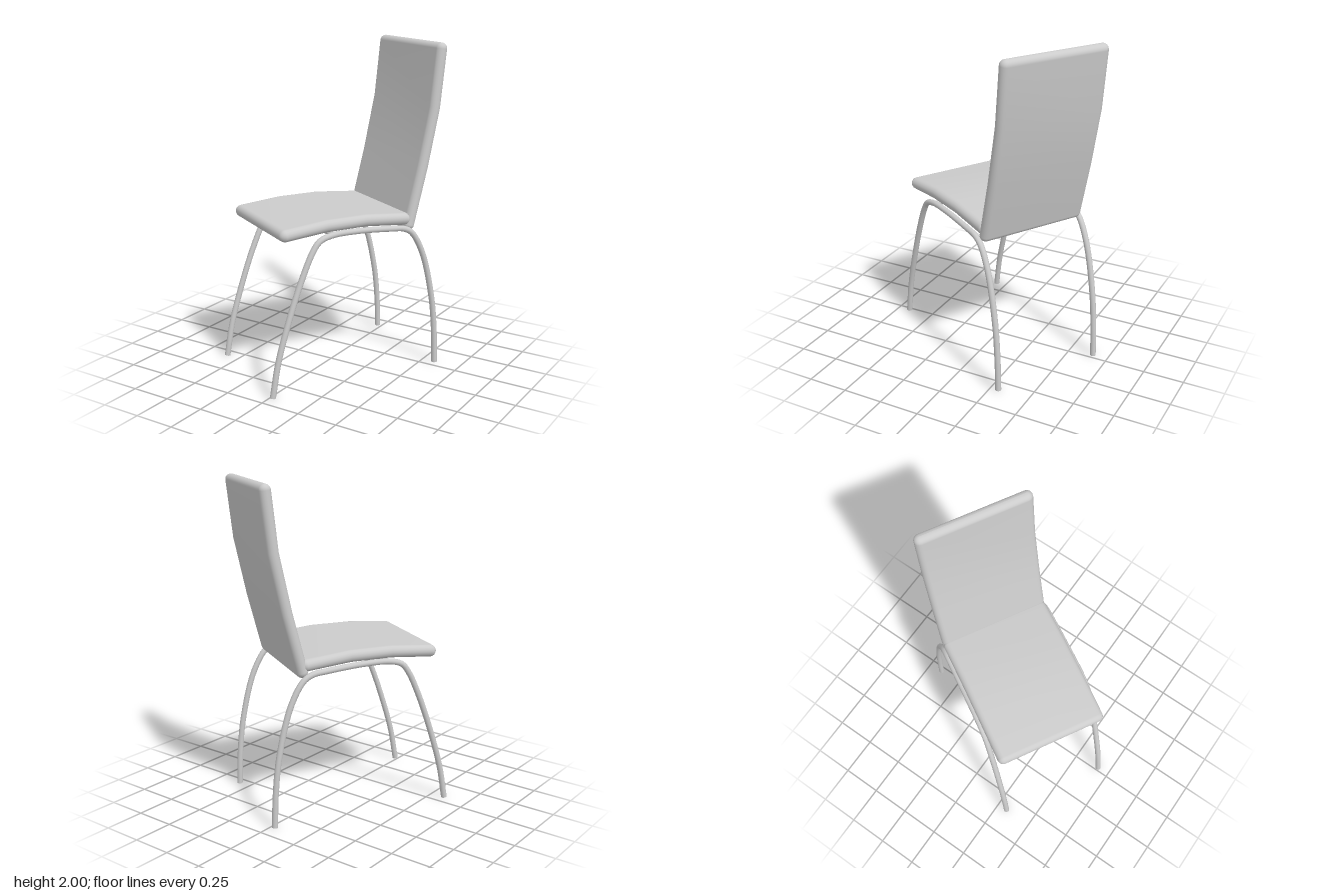
import * as THREE from 'three';

const material = new THREE.MeshStandardMaterial({ color: 0xcccccc });

function add(parent, name, geometry) {
  const mesh = new THREE.Mesh(geometry, material);
  mesh.name = name;
  parent.add(mesh);
  return mesh;
}

// Cushion with fully rounded edges, swept along a side profile of [z, y] points
function cushion(profile, halfWidth, r) {
  const path = profile.map(([z, y]) => new THREE.Vector3(0, y, z));
  const last = path.length - 1;
  const dirAt = (i) => path[Math.min(i + 1, last)].clone().sub(path[Math.max(i - 1, 0)]).normalize();
  const steps = 6, arc = 8;

  // Stations: rounded start, plain middle, rounded end
  const stations = [];
  const cap = (i, sign, k) => {
    const a = (k / steps) * Math.PI / 2, d = dirAt(i);
    const p = path[i].clone().addScaledVector(d, sign * r * (Math.sin(a) - 1));
    stations.push({ p, d, r: r * Math.cos(a) });
  };
  for (let k = steps; k >= 0; k--) cap(0, -1, k);
  for (let i = 1; i < last; i++) stations.push({ p: path[i], d: dirAt(i), r });
  for (let k = 0; k <= steps; k++) cap(last, 1, k);

  const positions = [], index = [], ring = 2 * (arc + 1);
  stations.forEach((s, i) => {
    for (let j = 0; j < ring; j++) {
      const side = j <= arc ? 1 : -1;
      const a = -Math.PI / 2 + (j % (arc + 1)) / arc * Math.PI + (side < 0 ? Math.PI : 0);
      const n = s.r * Math.sin(a);
      positions.push(side * (halfWidth - r) + s.r * Math.cos(a), s.p.y + n * s.d.z, s.p.z - n * s.d.y);
      if (i < stations.length - 1) {
        const a0 = i * ring + j, b0 = i * ring + (j + 1) % ring;
        index.push(a0, b0, a0 + ring, b0, b0 + ring, a0 + ring);
      }
    }
  });
  const geometry = new THREE.BufferGeometry();
  geometry.setAttribute('position', new THREE.Float32BufferAttribute(positions, 3));
  geometry.setIndex(index);
  geometry.computeVertexNormals();
  return geometry;
}

export function createModel() {
  const model = new THREE.Group();
  model.name = 'chair';
  const chair = new THREE.Group();
  chair.name = 'chairBody';
  chair.rotation.y = -Math.PI / 6; // the chair stands turned to one side
  model.add(chair);

  // Upholstery
  add(chair, 'seat', cushion([[0.5, 0.956], [0.2, 0.983], [-0.06, 0.984], [-0.37, 0.955]], 0.35, 0.037));
  add(chair, 'backrest', cushion([[-0.352, 0.888], [-0.45, 1.27], [-0.525, 1.62], [-0.567, 2]], 0.35, 0.035));

  // Each side frame is one bent tube: front leg, seat rail, back leg
  const tubeRadius = 0.018;
  const legPath = [
    [0.57, 0], [0.53, 0.22], [0.447, 0.5], [0.37, 0.71], [0.305, 0.85], [0.26, 0.908], [0.18, 0.933],
    [0.02, 0.937], [-0.22, 0.92], [-0.31, 0.908], [-0.365, 0.875], [-0.444, 0.734],
    [-0.518, 0.44], [-0.545, 0.2], [-0.553, 0],
  ];
  for (const [side, name] of [[1, 'left'], [-1, 'right']]) {
    const curve = new THREE.CatmullRomCurve3(
      legPath.map(([z, y]) => new THREE.Vector3(side * 0.352, y, z)), false, 'centripetal');
    add(chair, name + 'LegFrame', new THREE.TubeGeometry(curve, 96, tubeRadius, 12));
    for (const [t, end] of [[0, 'Front'], [1, 'Back']]) {
      const foot = add(chair, name + end + 'FootCap', new THREE.CircleGeometry(tubeRadius, 12));
      const p = curve.getPoint(t), d = curve.getTangent(t).multiplyScalar(t ? 1 : -1);
      foot.position.copy(p);
      foot.quaternion.setFromUnitVectors(new THREE.Vector3(0, 0, 1), d);
    }
  }

  // Crossbar joining the rails under the seat
  const bar = add(chair, 'crossbar', new THREE.CylinderGeometry(0.016, 0.016, 0.7, 12));
  bar.rotation.z = Math.PI / 2;
  bar.position.set(0, 0.934, 0.17);

  return model;
}
